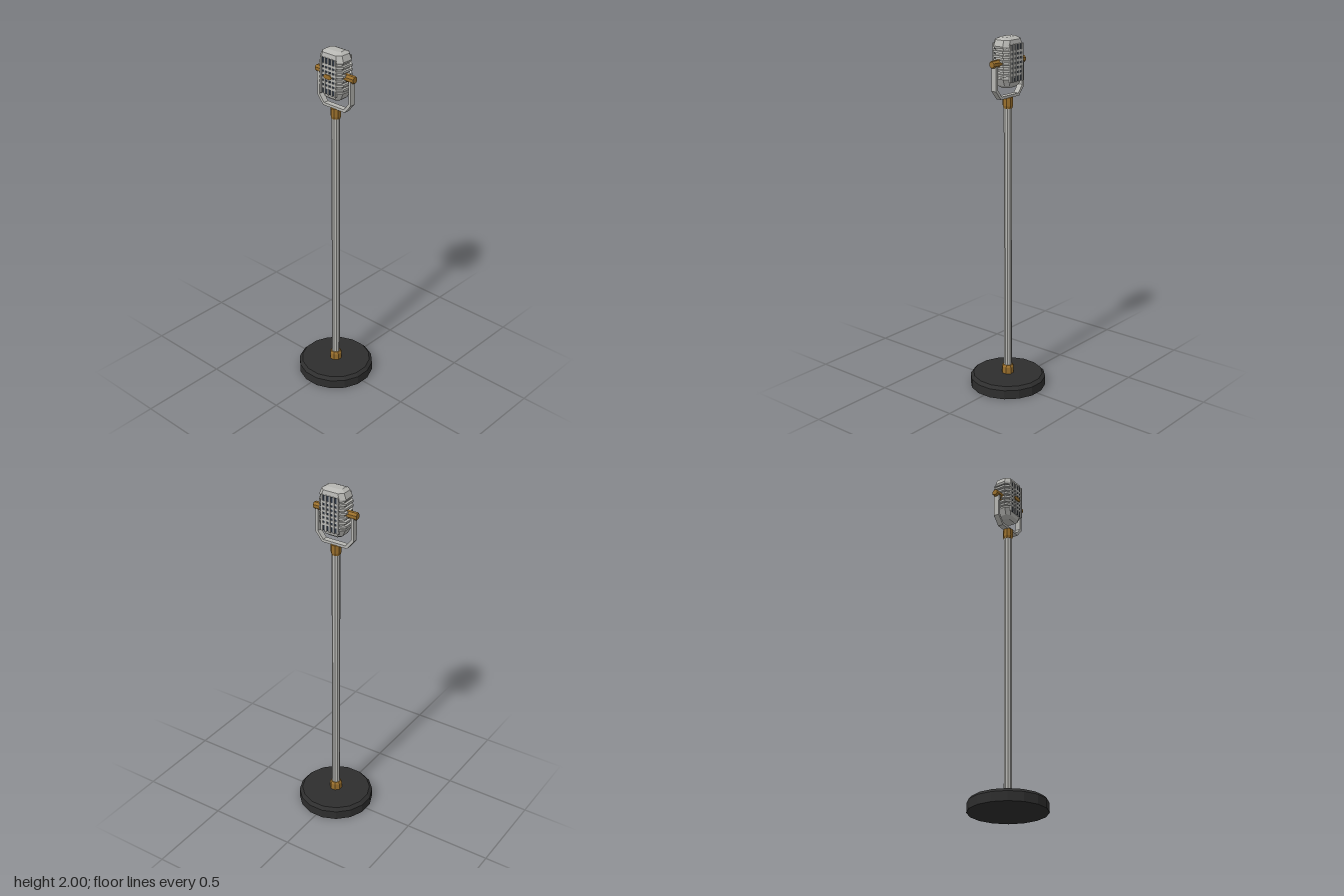
import * as THREE from 'three';

const flat = (name, color) => {
  const m = new THREE.MeshStandardMaterial({ color, flatShading: true });
  m.name = name;
  return m;
};

// Chamfered octagon outline, anticlockwise from above, scaled per section
const OCT = [[1, .56], [1, -.56], [.66, -1], [-.66, -1], [-1, -.56], [-1, .56], [-.66, 1], [.66, 1]];

// Closed solid through sections [y, halfWidth, halfDepth], bottom to top
function loft(sections) {
  const pos = [], idx = [], n = OCT.length;
  for (const [y, hx, hz] of sections) for (const [x, z] of OCT) pos.push(x * hx, y, z * hz);
  for (let s = 0; s < sections.length - 1; s++) {
    for (let i = 0; i < n; i++) {
      const a = s * n + i, b = s * n + (i + 1) % n;
      idx.push(a, b, b + n, a, b + n, a + n);
    }
  }
  const t = (sections.length - 1) * n;
  for (let i = 1; i < n - 1; i++) idx.push(0, i + 1, i, t, t + i, t + i + 1);
  const g = new THREE.BufferGeometry();
  g.setAttribute('position', new THREE.Float32BufferAttribute(pos, 3));
  g.setIndex(idx);
  const out = g.toNonIndexed();
  out.computeVertexNormals();
  return out;
}

// Turned solid with flat ends from [radius, y] points
function turned(points, sides) {
  const g = new THREE.LatheGeometry(points.map(([r, y]) => new THREE.Vector2(r, y)), sides);
  return g.rotateY(Math.PI / sides);
}

export function createModel() {
  const root = new THREE.Group();
  root.name = 'standMicrophone';
  const chrome = flat('chrome', 0xb6b6b2);
  const brass = flat('brass', 0x9a6f2c);
  const black = flat('baseBlack', 0x2e2e2e);
  const dark = flat('grilleDark', 0x2b3442);

  const add = (name, geo, mat, parent = root) => {
    const m = new THREE.Mesh(geo, mat);
    m.name = name;
    parent.add(m);
    return m;
  };

  // Weighted base, pole and brass collars
  add('base', turned([[0, 0], [.215, 0], [.215, .052], [.198, .07], [0, .07]], 16), black);
  add('lowerCollar', turned([[0, .07], [.035, .07], [.035, .108], [.028, .12], [0, .12]], 8), brass);
  add('pole', turned([[0, .1], [.023, .1], [.023, 1.63], [0, 1.63]], 10), chrome);
  add('upperCollar', turned([[0, 1.615], [.024, 1.615], [.029, 1.63], [.029, 1.675], [0, 1.675]], 8), brass);

  // U-shaped yoke with chamfered lower corners
  const yoke = new THREE.Shape([
    [-.117, 1.865], [-.117, 1.722], [-.076, 1.673], [.076, 1.673], [.117, 1.722], [.117, 1.865],
    [.102, 1.865], [.102, 1.729], [.069, 1.688], [-.069, 1.688], [-.102, 1.729], [-.102, 1.865],
  ].map(([x, y]) => new THREE.Vector2(x, y)));
  const yokeGeo = new THREE.ExtrudeGeometry(yoke, { depth: .032, bevelEnabled: false });
  add('yoke', yokeGeo.translate(0, 0, -.016), chrome);

  // Pivot knobs on both sides
  for (const s of [1, -1]) {
    const knob = turned([[0, .066], [.021, .066], [.021, .127], [.017, .133], [0, .133]], 8);
    knob.rotateZ(-s * Math.PI / 2).translate(0, 1.865, 0);
    add(s > 0 ? 'leftKnob' : 'rightKnob', knob, brass);
  }

  // Microphone head: faceted caps around a narrower core
  const head = new THREE.Group();
  head.name = 'head';
  root.add(head);
  add('topCap', loft([[1.943, .077, .055], [1.955, .081, .056], [1.987, .068, .05], [2, .047, .024]]), chrome, head);
  add('bottomCap', loft([[1.73, .038, .026], [1.745, .058, .044], [1.782, .077, .055], [1.788, .075, .054]]), chrome, head);
  add('core', loft([[1.78, .069, .05], [1.95, .069, .05]]), chrome, head);

  // Horizontal ribs
  for (let i = 0; i < 6; i++) {
    const y = 1.803 + i * .0247;
    add('rib', loft([[y - .006, .083, .06], [y + .006, .083, .06]]), chrome, head);
  }

  // Dark grille with vertical slats, front and back
  for (const s of [1, -1]) {
    add('grille', new THREE.BoxGeometry(.1, .195, .008).translate(0, 1.865, s * .053), dark, head);
    for (let i = -2; i <= 2; i++) {
      add('slat', new THREE.BoxGeometry(.011, .2, .012).translate(i * .024, 1.865, s * .056), chrome, head);
    }
  }

  // Brass badge on the front
  const badge = new THREE.Shape([[.03, 0], [.016, .012], [-.016, .012], [-.03, 0], [-.016, -.012], [.016, -.012]]
    .map(([x, y]) => new THREE.Vector2(x, y)));
  const badgeGeo = new THREE.ExtrudeGeometry(badge, { depth: .007, bevelEnabled: false });
  add('badge', badgeGeo.translate(0, 1.865, .06), brass, head);

  return root;
}
